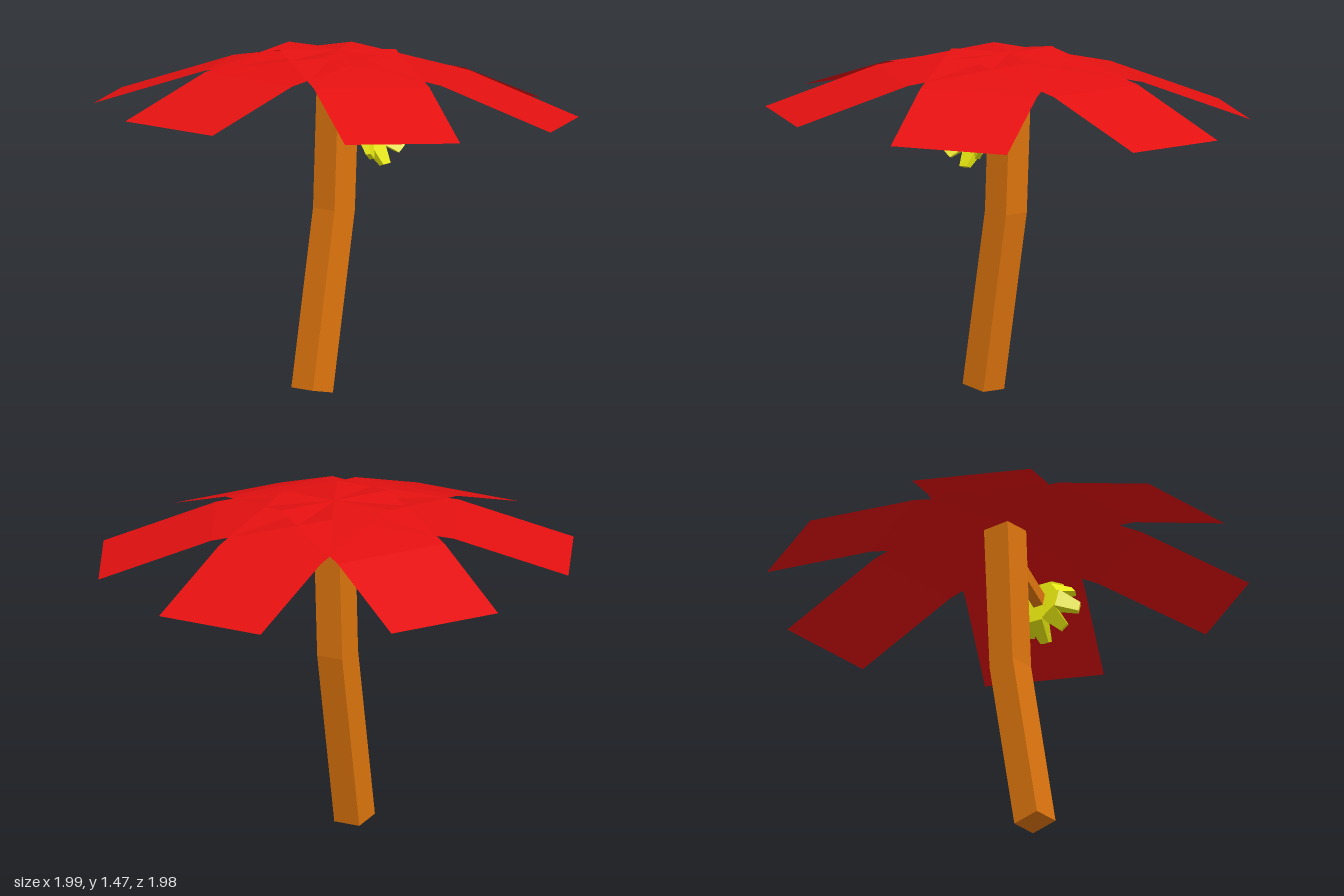
import * as THREE from 'three';

// Surface lofted through rows of points (all rows the same length), flat shaded
function loft(rows, closed) {
  const pos = [], idx = [], n = rows[0].length;
  rows.forEach(row => row.forEach(p => pos.push(...p)));
  for (let i = 0; i < rows.length - 1; i++) {
    for (let j = 0; j < (closed ? n : n - 1); j++) {
      const a = i * n + j, b = i * n + (j + 1) % n;
      idx.push(a, b, b + n, a, b + n, a + n);
    }
  }
  if (closed) {
    const e = (rows.length - 1) * n;
    for (let j = 1; j < n - 1; j++) idx.push(0, j + 1, j, e, e + j, e + j + 1);
  }
  const g = new THREE.BufferGeometry();
  g.setAttribute('position', new THREE.Float32BufferAttribute(pos, 3));
  g.setIndex(idx);
  const flat = g.toNonIndexed();
  flat.computeVertexNormals();
  return flat;
}

export function createModel() {
  const model = new THREE.Group();
  model.name = 'palmTree';
  const material = (name, color) => {
    const m = new THREE.MeshStandardMaterial({ color, side: THREE.DoubleSide, flatShading: true });
    m.name = name;
    return m;
  };
  const bark = material('orangeBark', 0xe0760e);
  const red = material('redLeaf', 0xe31010);
  const yellow = material('yellowFruit', 0xe6e610);
  const add = (parent, name, geometry, mat) => {
    const mesh = new THREE.Mesh(geometry, mat);
    mesh.name = name;
    parent.add(mesh);
    return mesh;
  };

  // Trunk: a square post with one bend
  const outline = [[-0.09, 0], [0.045, 0.77], [0.075, 1.42], [-0.053, 1.425], [-0.08, 0.78], [-0.213, 0.023]];
  const trunk = new THREE.ExtrudeGeometry(
    new THREE.Shape(outline.map(([x, y]) => new THREE.Vector2(x, y))),
    { depth: 0.126, bevelEnabled: false });
  trunk.translate(0, 0, -0.063);
  add(model, 'trunk', trunk, bark);

  // Crown: six bent sheets, leaning slightly to one side
  const crown = new THREE.Group();
  crown.name = 'crown';
  crown.position.set(0.004, 1.4, 0);
  crown.rotation.z = -0.044;
  model.add(crown);
  const profile = [[0, 0.056], [0.515, -0.033], [0.997, -0.203]];
  const leafGeometry = loft(profile.map(([r, y]) => [[r, y, -0.255], [r, y, 0.255]]), false);
  // face upward
  leafGeometry.computeVertexNormals();
  for (let i = 0; i < 6; i++) {
    const leaf = add(crown, 'leaf' + (i + 1), leafGeometry, red);
    leaf.rotation.y = i * Math.PI / 3;
    if (i === 3) leaf.position.z = -0.03;
  }

  // Stalk joining the fruit to the trunk
  const from = new THREE.Vector3(0, 1.3, 0.04), to = new THREE.Vector3(0, 1.15, 0.24);
  const stalk = add(model, 'fruitStalk', new THREE.BoxGeometry(0.05, 0.05, from.distanceTo(to)), bark);
  stalk.position.copy(from).lerp(to, 0.5);
  stalk.lookAt(to);

  // Fruit bunch: tapered, bent fruits opening forward and a little down
  const bunch = new THREE.Group();
  bunch.name = 'fruitBunch';
  bunch.position.set(0, 1.16, 0.22);
  bunch.rotation.x = 0.26;
  model.add(bunch);
  // each section: radius, forward distance, half width, half thickness
  const sections = [[0, 0.01, 0.022, 0.015], [0.085, 0.015, 0.042, 0.02], [0.145, 0.095, 0.022, 0.01]];
  const fruitGeometry = loft(sections.map(([r, d, w, t]) => [
    [-w, r + t * 0.7, d - t], [w, r + t * 0.7, d - t], [w, r - t * 0.7, d + t], [-w, r - t * 0.7, d + t],
  ]), true);
  const count = 8;
  for (let i = 0; i < count; i++) {
    const fruit = add(bunch, 'fruit' + (i + 1), fruitGeometry, yellow);
    fruit.rotation.z = i * 2 * Math.PI / count + 0.06;
    fruit.scale.setScalar(i % 2 ? 0.92 : 1);
  }
  return model;
}
